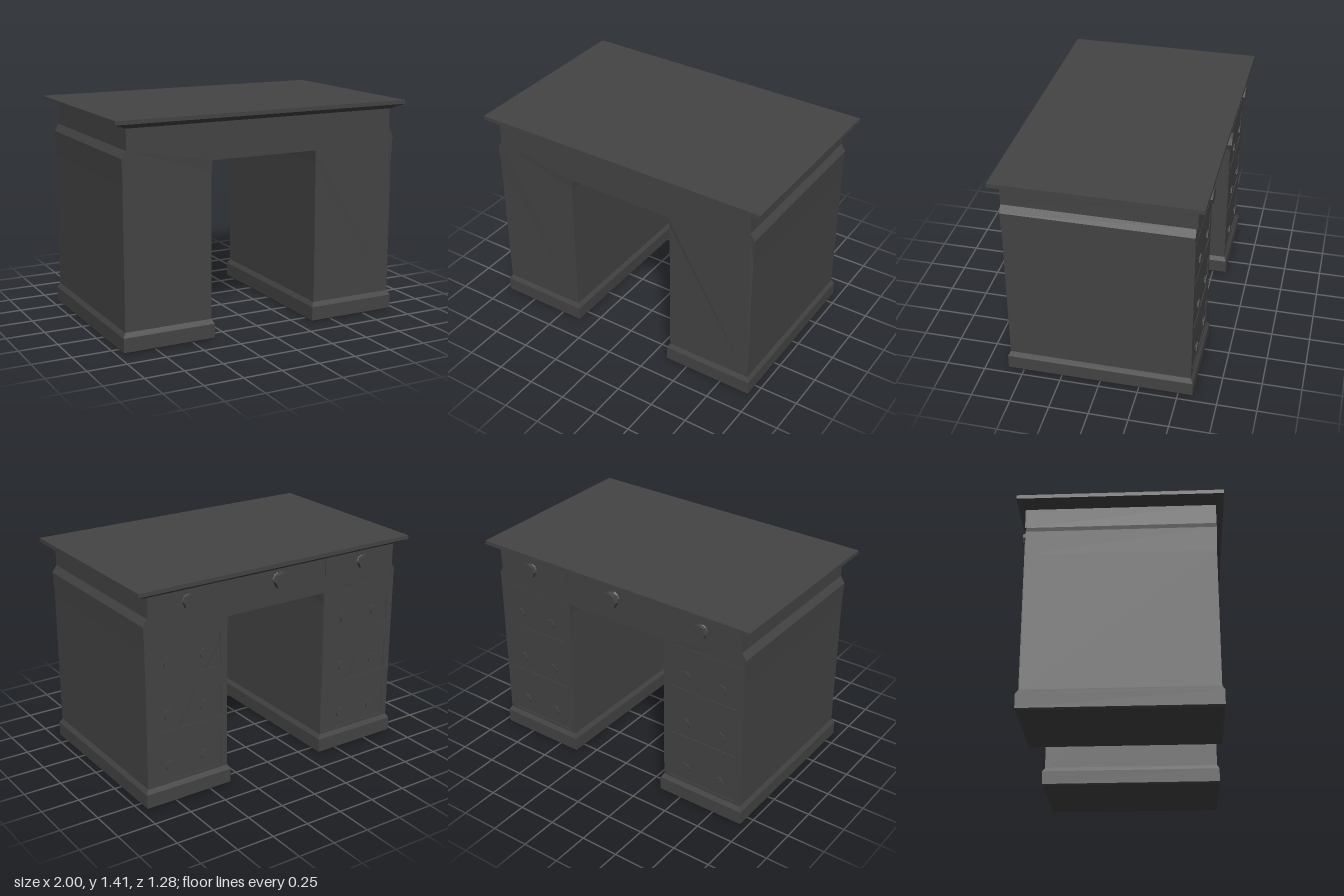
import * as THREE from 'three';

const material = new THREE.MeshStandardMaterial({ color: 0x444444, flatShading: true });

function addMesh(parent, name, geometry) {
  const mesh = new THREE.Mesh(geometry, material);
  mesh.name = name;
  parent.add(mesh);
  return mesh;
}

// Closed solid through rectangular rings, bottom to top: [y, x0, x1, z0, z1]
function rectLoft(rings) {
  const pos = [], idx = [];
  rings.forEach(([y, x0, x1, z0, z1]) => {
    pos.push(x0, y, z1, x1, y, z1, x1, y, z0, x0, y, z0);
  });
  for (let r = 0; r < rings.length - 1; r++) {
    for (let i = 0; i < 4; i++) {
      const a = r * 4 + i, b = r * 4 + (i + 1) % 4;
      idx.push(a, b, b + 4, a, b + 4, a + 4);
    }
  }
  const t = (rings.length - 1) * 4;
  idx.push(0, 2, 1, 0, 3, 2, t, t + 1, t + 2, t, t + 2, t + 3);
  const g = new THREE.BufferGeometry();
  g.setAttribute('position', new THREE.Float32BufferAttribute(pos, 3));
  g.setIndex(idx);
  const flat = g.toNonIndexed();
  flat.computeVertexNormals();
  return flat;
}

// Turned octagonal knob pointing to the back; profile is [radius, distance out]
function knob(parent, name, profile, x, y, z) {
  const points = profile.map(([r, h]) => new THREE.Vector2(r, h));
  const g = new THREE.LatheGeometry(points, 8);
  g.rotateX(-Math.PI / 2);
  addMesh(parent, name, g).position.set(x, y, z);
}

export function createModel() {
  const desk = new THREE.Group();
  desk.name = 'pedestalDesk';

  // Table top with a bevelled underside
  addMesh(desk, 'tableTop', rectLoft([
    [1.355, -0.92, 0.92, -0.58, 0.59],
    [1.385, -1, 1, -0.632, 0.638],
    [1.41, -1, 1, -0.632, 0.638],
  ]));

  // Carcass: front outline with knee hole, run from front to back
  const half = [
    [0.36, 1.125], [0.366, 1.05], [0.37, 0.12], [0.942, 0.12], [0.942, 1.02],
    [0.946, 1.18], [0.917, 1.225], [0.917, 1.36],
  ];
  const outline = half.concat(half.slice().reverse().map(([x, y]) => [-x, y]));
  const carcass = new THREE.ExtrudeGeometry(
    new THREE.Shape(outline.map(([x, y]) => new THREE.Vector2(x, y))),
    { depth: 1, bevelEnabled: false });
  const p = carcass.attributes.position;
  for (let i = 0; i < p.count; i++) {
    const low = p.getY(i) < 1.1;
    p.setZ(i, p.getZ(i) > 0.5 ? (low ? 0.585 : 0.59) : (low ? -0.571 : -0.574));
  }
  carcass.computeVertexNormals();
  addMesh(desk, 'carcass', carcass);

  const drawerRows = [0.255, 0.59, 0.93];
  const smallKnob = [[0, 0], [0.022, 0], [0.016, 0.006], [0.036, 0.009], [0.036, 0.017], [0, 0.017]];
  const outerKnob = [[0, 0], [0.036, 0], [0.016, 0.02], [0.05, 0.024], [0.05, 0.045], [0, 0.045]];
  const middleKnob = [[0, 0], [0.04, 0], [0.018, 0.026], [0.057, 0.033], [0.057, 0.065], [0, 0.065]];

  for (const s of [1, -1]) {
    const side = s > 0 ? 'left' : 'right';
    const pedestal = new THREE.Group();
    pedestal.name = side + 'Pedestal';
    desk.add(pedestal);

    // Plinth with chamfered edges
    const plinth = rectLoft([
      [0, -0.295, 0.295, -0.58, 0.59],
      [0.01, -0.303, 0.303, -0.592, 0.6],
      [0.1, -0.303, 0.303, -0.592, 0.6],
      [0.13, -0.287, 0.287, -0.575, 0.585],
    ]);
    addMesh(pedestal, side + 'Plinth', plinth).position.x = s * 0.656;

    // Drawer frame whose openings leave shallow recessed drawer fronts
    const frame = new THREE.Shape();
    frame.moveTo(-0.286, 0.12).lineTo(0.286, 0.12).lineTo(0.286, 1.12).lineTo(-0.286, 1.12).closePath();
    for (const y of drawerRows) {
      const hole = new THREE.Path();
      hole.moveTo(-0.24, y - 0.107).lineTo(-0.24, y + 0.107)
        .lineTo(0.24, y + 0.107).lineTo(0.24, y - 0.107).closePath();
      frame.holes.push(hole);
    }
    const frameGeo = new THREE.ExtrudeGeometry(frame, { depth: 0.006, bevelEnabled: false });
    addMesh(pedestal, side + 'DrawerFrame', frameGeo).position.set(s * 0.656, 0, -0.576);

    // Two knobs on each pedestal drawer
    for (const y of drawerRows) {
      for (const dx of [-0.127, 0.127]) {
        knob(pedestal, side + 'DrawerKnob', smallKnob, s * 0.66 + dx, y, -0.571);
      }
    }

    // Outer drawer in the frieze, slightly proud of the middle one
    const front = new THREE.BoxGeometry(0.55, 0.13, 0.012);
    addMesh(desk, side + 'TopDrawer', front).position.set(s * 0.642, 1.292, -0.577);
    knob(desk, side + 'TopDrawerKnob', outerKnob, s * 0.65, 1.292, -0.583);
  }

  // Middle drawer knob
  knob(desk, 'middleDrawerKnob', middleKnob, 0, 1.292, -0.574);
  return desk;
}
